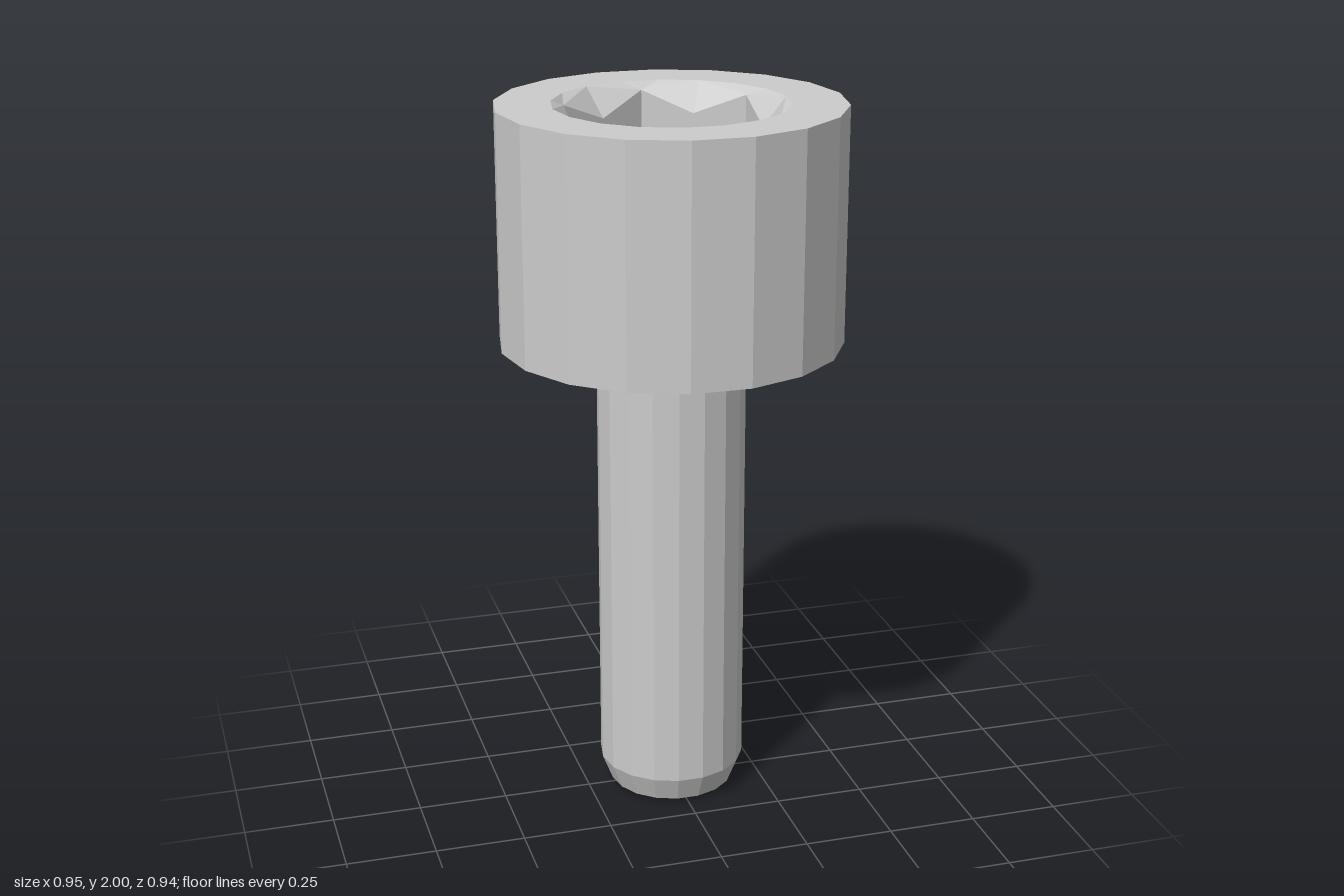
import * as THREE from 'three';

const SIDES = 18;
const RIM_R = 0.322, TOP_Y = 2, FLOOR_Y = 1.66;
const HEX_R = 0.297, HEX_FLAT = HEX_R * Math.cos(Math.PI / 6);

const material = new THREE.MeshStandardMaterial({ color: 0xcccccc, flatShading: true });

function addMesh(group, name, geometry) {
  const mesh = new THREE.Mesh(geometry, material);
  mesh.name = name;
  group.add(mesh);
}

// Faceted turned part with a corner on the x axis; profile runs bottom to top.
function turned(profile) {
  const points = profile.map(([r, y]) => new THREE.Vector2(r, y));
  return new THREE.LatheGeometry(points, SIDES, Math.PI / 2);
}

function fromTriangles(triangles) {
  const geometry = new THREE.BufferGeometry().setFromPoints(triangles.flat());
  geometry.computeVertexNormals();
  return geometry;
}

// Point at an angle in degrees, measured from +x towards +z.
function polar(r, degrees, y) {
  const a = THREE.MathUtils.degToRad(degrees);
  return new THREE.Vector3(r * Math.cos(a), y, r * Math.sin(a));
}

export function createModel() {
  const screw = new THREE.Group();
  screw.name = 'socketHeadScrew';

  // Shank with a chamfered tip
  addMesh(screw, 'shank', turned([
    [0, 0], [0.145, 0], [0.178, 0.012], [0.207, 0.085], [0.207, 1.345],
  ]));

  // Cylindrical head, open inside the rim
  addMesh(screw, 'head', turned([
    [0.207, 1.345], [0.475, 1.345], [0.475, TOP_Y], [RIM_R, TOP_Y],
  ]));

  // Countersink, hexagonal walls and floor, one hexagon corner at a time
  const countersink = [], walls = [], floor = [];
  const floorCentre = new THREE.Vector3(0, FLOOR_Y, 0);
  for (let k = 0; k < 6; k++) {
    const angle = 30 + 60 * k;
    const [r0, r1, r2, r3] = [-30, -10, 10, 30].map((d) => polar(RIM_R, angle + d, TOP_Y));
    const corner = polar(HEX_R, angle, TOP_Y - 0.022);
    const mid0 = polar(HEX_FLAT, angle - 30, TOP_Y - 0.08);
    const mid1 = polar(HEX_FLAT, angle + 30, TOP_Y - 0.08);
    countersink.push(
      [r1, r0, corner], [r0, mid0, corner], [r2, r1, corner],
      [r3, r2, corner], [r3, corner, mid1],
    );
    for (const [a, b] of [[mid0, corner], [corner, mid1]]) {
      const aLow = a.clone().setY(FLOOR_Y), bLow = b.clone().setY(FLOOR_Y);
      walls.push([aLow, bLow, b], [aLow, b, a]);
      floor.push([floorCentre, bLow, aLow]);
    }
  }
  addMesh(screw, 'countersink', fromTriangles(countersink));
  addMesh(screw, 'socketWalls', fromTriangles(walls));
  addMesh(screw, 'socketFloor', fromTriangles(floor));

  return screw;
}
